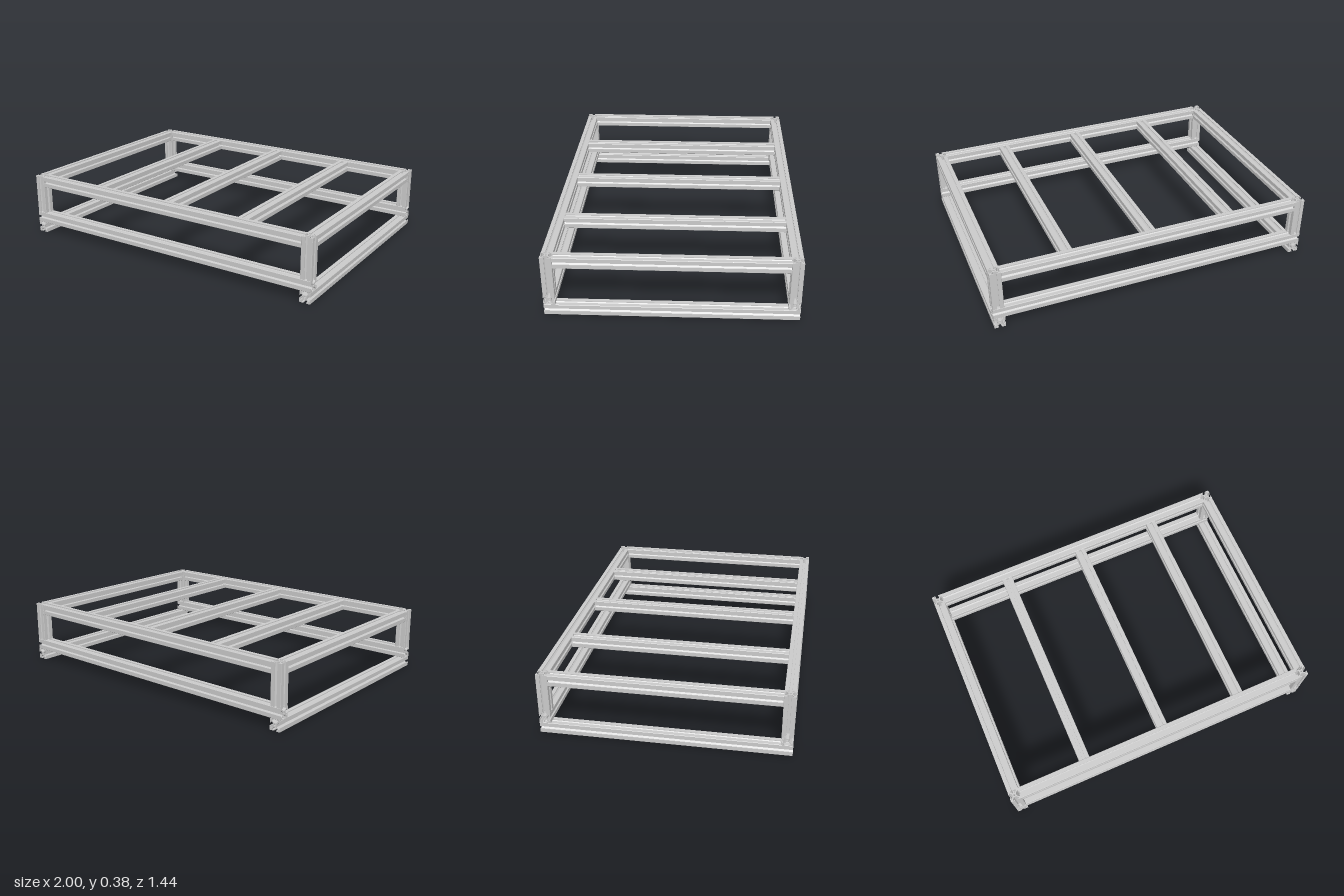
import * as THREE from 'three';

const S = 0.067; // side of the square slotted profile
const X = 1 - S / 2, Z = 0.722 - S / 2, TOP = 0.38;

// Slotted section: one side with its T-slot, turned four times, plus a core hole
function slottedSection() {
  const half = [[0.47, 0.5], [0.13, 0.5], [0.13, 0.43], [0.28, 0.43], [0.28, 0.35], [0.11, 0.18]];
  const side = [[0.5, 0.47], ...half, ...half.slice().reverse().map(([x, y]) => [-x, y])];
  side.shift();
  const points = [];
  for (let i = 0; i < 4; i++) {
    for (const [x, y] of side) {
      points.push(new THREE.Vector2(x * S, y * S).rotateAround(new THREE.Vector2(), i * Math.PI / 2));
    }
  }
  const shape = new THREE.Shape(points);
  const hole = new THREE.Path();
  hole.absarc(0, 0, 0.09 * S, 0, Math.PI * 2, true);
  shape.holes.push(hole);
  return shape;
}

export function createModel() {
  const group = new THREE.Group();
  const material = new THREE.MeshStandardMaterial({ color: 0xcccccc, flatShading: true });
  const section = slottedSection();

  // A profile bar of given length, centred on (x, y, z) and running along one axis
  function bar(name, axis, length, x, y, z) {
    const geometry = new THREE.ExtrudeGeometry(section, { depth: length, bevelEnabled: false, curveSegments: 4 });
    geometry.translate(0, 0, -length / 2);
    if (axis === 'x') geometry.rotateY(Math.PI / 2);
    if (axis === 'y') geometry.rotateX(-Math.PI / 2);
    const mesh = new THREE.Mesh(geometry, material);
    mesh.name = name;
    mesh.position.set(x, y, z);
    group.add(mesh);
  }

  const topY = TOP - S / 2;
  const postHeight = TOP - 2 * S;
  const innerX = 2 - 2 * S, innerZ = 2 * Z - S;

  for (const [sx, side] of [[1, 'left'], [-1, 'right']]) {
    // Floor runners and top side rails
    bar(side + 'Runner', 'z', 2 * Z + S, sx * X, S / 2, 0);
    bar(side + 'TopRail', 'z', innerZ, sx * X, topY, 0);
    // Corner posts
    for (const [sz, end] of [[1, 'Front'], [-1, 'Back']]) {
      bar(side + end + 'Post', 'y', postHeight, sx * X, 2 * S + postHeight / 2, sz * Z);
    }
  }

  // Lower and upper rails at front and back
  for (const [sz, end] of [[1, 'front'], [-1, 'back']]) {
    bar(end + 'LowerRail', 'x', 2, 0, 1.5 * S, sz * Z);
    bar(end + 'TopRail', 'x', innerX, 0, topY, sz * Z);
  }

  // Cross bars of the deck
  [-0.5, 0.018, 0.536].forEach((x, i) => bar('crossBar' + (i + 1), 'z', innerZ, x, topY, 0));

  return group;
}
